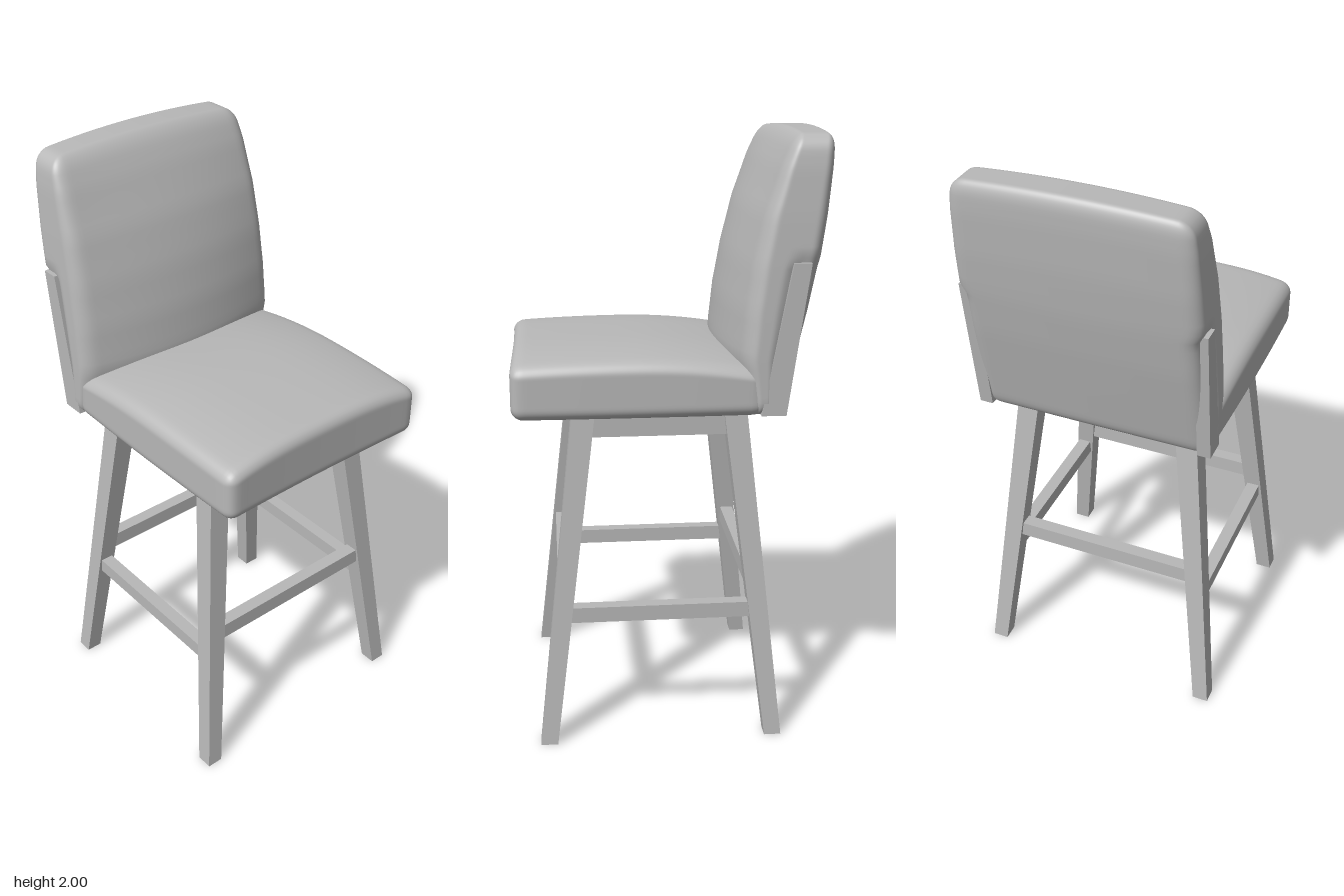
import * as THREE from 'three';
import { mergeVertices } from 'three/addons/utils/BufferGeometryUtils.js';

const grey = new THREE.MeshStandardMaterial({ color: 0xb8b8b8 });
grey.name = 'grey';

const smooth = THREE.MathUtils.smoothstep;
const lerp = THREE.MathUtils.lerp;

// Linear lookup in rows of [y, a, b, ...]
function sample(rows, y, k) {
  for (let i = 1; i < rows.length; i++) {
    if (y <= rows[i][0] || i === rows.length - 1) {
      const a = rows[i - 1], b = rows[i];
      const t = THREE.MathUtils.clamp((y - a[0]) / (b[0] - a[0]), 0, 1);
      return lerp(a[k], b[k], t);
    }
  }
}

// Rounded cushion block, centred on the origin, then bent by a warp rule
function cushion(name, half, r, n, warp) {
  let g = new THREE.BoxGeometry(2, 2, 2, n, n, n);
  g.deleteAttribute('normal');
  g.deleteAttribute('uv');
  g = mergeVertices(g);
  const pos = g.attributes.position;
  const p = new THREE.Vector3(), inner = new THREE.Vector3();
  const limit = half.clone().subScalar(r);
  const low = limit.clone().negate();
  for (let i = 0; i < pos.count; i++) {
    p.fromBufferAttribute(pos, i);
    // denser rows near the edges
    p.set(Math.sin(p.x * Math.PI / 2), Math.sin(p.y * Math.PI / 2), Math.sin(p.z * Math.PI / 2)).multiply(half);
    inner.copy(p).clamp(low, limit);
    p.sub(inner);
    if (p.lengthSq() > 0) p.setLength(r);
    p.add(inner);
    warp(p);
    pos.setXYZ(i, p.x, p.y, p.z);
  }
  g.computeVertexNormals();
  const m = new THREE.Mesh(g, grey);
  m.name = name;
  return m;
}

// Tapered, leaning bar: centre [x, y, z] and size [x, z] at the bottom and top
function post(name, c0, s0, c1, s1) {
  const g = new THREE.BoxGeometry(1, 1, 1);
  const pos = g.attributes.position;
  for (let i = 0; i < pos.count; i++) {
    const [c, s] = pos.getY(i) > 0 ? [c1, s1] : [c0, s0];
    pos.setXYZ(i, c[0] + pos.getX(i) * s[0], c[1], c[2] + pos.getZ(i) * s[1]);
  }
  g.computeVertexNormals();
  const m = new THREE.Mesh(g, grey);
  m.name = name;
  return m;
}

function bar(name, w, h, d, x, y, z) {
  const m = new THREE.Mesh(new THREE.BoxGeometry(w, h, d), grey);
  m.name = name;
  m.position.set(x, y, z);
  return m;
}

export function createModel() {
  const chair = new THREE.Group();
  chair.name = 'barStool';

  // Seat: crowned on top, slightly hollow front edge
  chair.add(cushion('seat', new THREE.Vector3(0.405, 0.108, 0.405), 0.04, 32, (p) => {
    const u = p.x / 0.405, w = p.z / 0.405;
    const top = smooth(p.y, -0.05, 0.108);
    p.y -= top * (0.035 * Math.pow(Math.abs(u), 3) + 0.012 * w * w + (w < 0 ? 0.03 * w * w : 0));
    p.x *= 1 - 0.015 * w * w;
    if (w > 0) p.z -= 0.008 * w * (1 - u * u);
    p.y += 1.218;
    p.z += 0.107;
  }));

  // Backrest: rows of [y, front z, back z, half width]
  const profile = [
    [1.11, -0.2, -0.36, 0.405],
    [1.3, -0.168, -0.405, 0.405],
    [1.45, -0.185, -0.44, 0.402],
    [1.6, -0.215, -0.47, 0.398],
    [1.75, -0.26, -0.492, 0.392],
    [1.9, -0.325, -0.507, 0.382],
    [2.0, -0.38, -0.512, 0.368],
  ];
  chair.add(cushion('backrest', new THREE.Vector3(0.4, 0.445, 0.125), 0.05, 40, (p) => {
    const u = p.x / 0.4, w = (p.z + 0.125) / 0.25, t = (p.y + 0.445) / 0.89;
    const y = p.y + 1.555;
    const front = sample(profile, y, 1) - 0.07 * u * u * (1 - t * t);
    const back = sample(profile, y, 2) + 0.01 * u * u;
    p.z = lerp(back, front, w);
    // lower rear corners are let in for the side rails
    const inset = (1 - smooth(y, 1.58, 1.63)) * (1 - smooth(w, 0.3, 0.6));
    p.x = u * sample(profile, y, 3) * (1 - 0.05 * inset);
    p.y = y - 0.016 * u * u * t;
  }));

  for (const s of [1, -1]) {
    const side = s > 0 ? 'left' : 'right';

    // Back side rails
    chair.add(post(side + 'BackRail', [s * 0.382, 1.115, -0.322], [0.045, 0.08],
      [s * 0.382, 1.6, -0.402], [0.045, 0.056]));

    // Splayed, tapering legs
    chair.add(post(side + 'FrontLeg', [s * 0.407, 0, 0.415], [0.055, 0.056],
      [s * 0.278, 1.12, 0.28], [0.075, 0.075]));
    chair.add(post(side + 'RearLeg', [s * 0.407, 0, -0.338], [0.055, 0.056],
      [s * 0.278, 1.12, -0.212], [0.075, 0.075]));

    // Side apron and stretcher
    chair.add(bar(side + 'Apron', 0.045, 0.09, 0.44, s * 0.282, 1.075, 0.034));
    chair.add(bar(side + 'Stretcher', 0.045, 0.052, 0.61, s * 0.356, 0.44, 0.038));
  }

  // Front and rear aprons and stretchers
  chair.add(bar('frontApron', 0.51, 0.09, 0.045, 0, 1.075, 0.284));
  chair.add(bar('rearApron', 0.51, 0.09, 0.045, 0, 1.075, -0.216));
  chair.add(bar('frontStretcher', 0.64, 0.055, 0.045, 0, 0.525, 0.352));
  chair.add(bar('rearStretcher', 0.64, 0.055, 0.045, 0, 0.525, -0.278));

  return chair;
}
